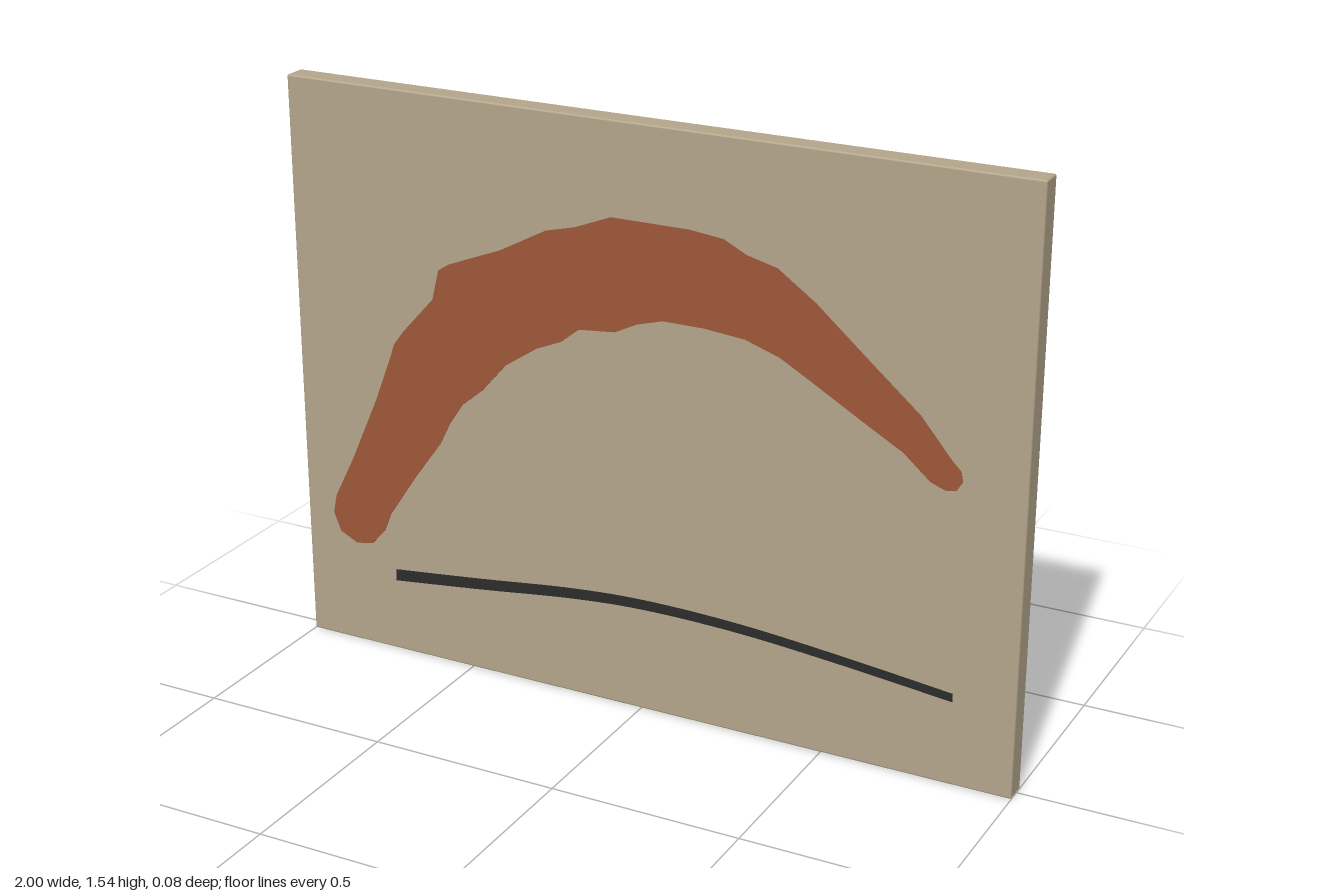
import * as THREE from 'three';
import { RoundedBoxGeometry } from 'three/addons/geometries/RoundedBoxGeometry.js';

function material(name, color) {
  const m = new THREE.MeshStandardMaterial({ color });
  m.name = name;
  return m;
}

export function createModel() {
  const model = new THREE.Group();
  const tan = material('tan board', 0xb3a58b);
  const rust = material('rust paint', 0x9e573a);
  const charcoal = material('charcoal', 0x2b2b2b);

  function add(name, geometry, mat, x = 0, y = 0, z = 0) {
    const mesh = new THREE.Mesh(geometry, mat);
    mesh.name = name;
    mesh.position.set(x, y, z);
    model.add(mesh);
    return mesh;
  }

  // flat shape from outline points, given in hundredths
  function slab(points, depth) {
    const shape = new THREE.Shape(points.map(([x, y]) => new THREE.Vector2(x / 100, y / 100)));
    return new THREE.ExtrudeGeometry(shape, { depth, bevelEnabled: false });
  }

  // main board and the smaller backing panel
  const front = 0.038, back = -0.024;
  add('board', new RoundedBoxGeometry(2, 1.54, front - back, 2, 0.005), tan, 0, 0.77, (front + back) / 2);
  add('backPanel', new THREE.BoxGeometry(1.75, 1.29, 0.016), charcoal, 0, 0.77, back - 0.007);

  // broad arched brush stroke, running right through the board
  const arch = [
    // outer edge, left to right
    [-91, 41], [-85, 53], [-77, 71], [-72, 84], [-71, 87], [-68, 91], [-59, 101], [-57, 109], [-54, 111],
    [-39, 117], [-26, 124], [-18, 126], [-8, 130], [13, 130], [22, 129], [28, 126], [36, 124],
    [46, 117], [60, 105], [73, 94], [81, 84.5],
    // rounded right tip
    [83.5, 82], [84, 79.5], [82.5, 77], [80, 76.5],
    // inner edge, right to left
    [76, 78], [69, 84], [60, 89], [46, 97], [37, 102], [28, 105], [17, 106], [6, 106], [-1, 104],
    [-7, 101], [-17, 100], [-22, 96], [-29, 93], [-38, 87], [-45, 79], [-51, 74], [-55, 68],
    [-58, 62], [-66, 51], [-74, 39],
    // rounded left end
    [-76, 34], [-80, 29.5], [-85, 28.5], [-90, 31], [-92, 36],
  ];
  add('archStroke', slab(arch, front - back + 0.003), rust, 0, 0, back - 0.0015);

  // thin dark stroke below, tapering to the right
  const line = new THREE.SplineCurve([
    [-73, 21.7], [-47, 24.7], [-20.5, 28], [1, 29.4], [27, 28.9], [54, 26.7], [84, 23.5],
  ].map(([x, y]) => new THREE.Vector2(x, y))).getPoints(40);
  const halfWidth = (i) => 1.6 - 0.5 * i / 40;
  const upper = line.map((p, i) => [p.x, p.y + halfWidth(i)]);
  const lower = line.map((p, i) => [p.x, p.y - halfWidth(i)]).reverse();
  add('groundStroke', slab([...upper, ...lower], 0.006), charcoal, 0, 0, front - 0.0045);

  return model;
}
